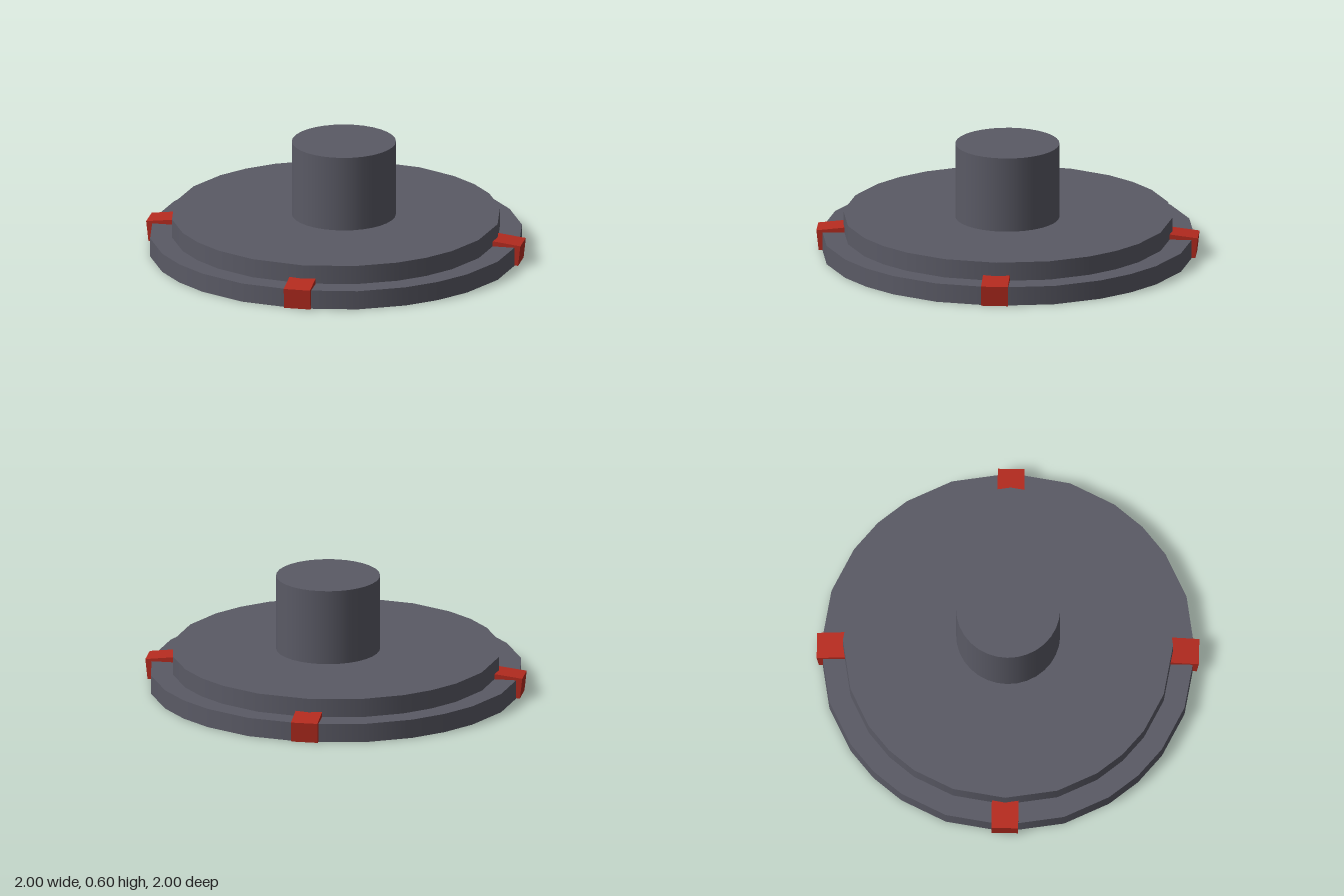
import * as THREE from 'three';

const SIDES = 24;

// Disc whose rim points follow a square grid pushed out to a circle:
// each 45 degree span is split at the angles atan(1/3), atan(2/3), atan(1).
function discGeometry(radius, height) {
  const geometry = new THREE.CylinderGeometry(radius, radius, height, SIDES);
  const p = geometry.attributes.position;
  const n = geometry.attributes.normal;
  for (let i = 0; i < p.count; i++) {
    const x = p.getX(i), z = p.getZ(i);
    if (Math.hypot(x, z) < 1e-6) continue;
    const quarter = Math.PI / 2;
    const angle = Math.atan2(z, x);
    const base = Math.round(angle / quarter) * quarter;
    const a = base + Math.atan((angle - base) / (Math.PI / 4));
    p.setXYZ(i, radius * Math.cos(a), p.getY(i), radius * Math.sin(a));
    if (Math.abs(n.getY(i)) < 0.5) n.setXYZ(i, Math.cos(a), 0, Math.sin(a));
  }
  return geometry;
}

export function createModel() {
  const model = new THREE.Group();
  model.name = 'steppedDiscWithShaft';
  const grey = new THREE.MeshStandardMaterial({ color: 0x5a5a65 });
  const red = new THREE.MeshStandardMaterial({ color: 0xb52b1f });

  const add = (name, geometry, material, x, y) => {
    const mesh = new THREE.Mesh(geometry, material);
    mesh.name = name;
    mesh.position.set(x, y, 0);
    model.add(mesh);
    return mesh;
  };

  // Two stacked discs and the slightly off-centre shaft
  add('baseDisc', discGeometry(0.977, 0.1), grey, 0, 0.05);
  add('upperDisc', discGeometry(0.862, 0.1), grey, 0, 0.15);
  add('shaft', new THREE.CylinderGeometry(0.272, 0.272, 0.4, 32), grey, 0.042, 0.4);

  // Hooked clips over the rim: sloping top plate and leaning outer plate
  const profile = new THREE.Shape([
    [0.85, 0.1], [0.96, 0.1], [0.96, 0.002], [0.986, 0.002], [0.998, 0.11], [0.85, 0.128],
  ].map(([x, y]) => new THREE.Vector2(x, y)));
  const clip = new THREE.ExtrudeGeometry(profile, { depth: 0.14, bevelEnabled: false });
  clip.translate(0, 0, -0.07);
  ['leftClip', 'backClip', 'rightClip', 'frontClip'].forEach((name, i) => {
    add(name, clip, red, 0, 0).rotation.y = i * Math.PI / 2;
  });

  return model;
}
